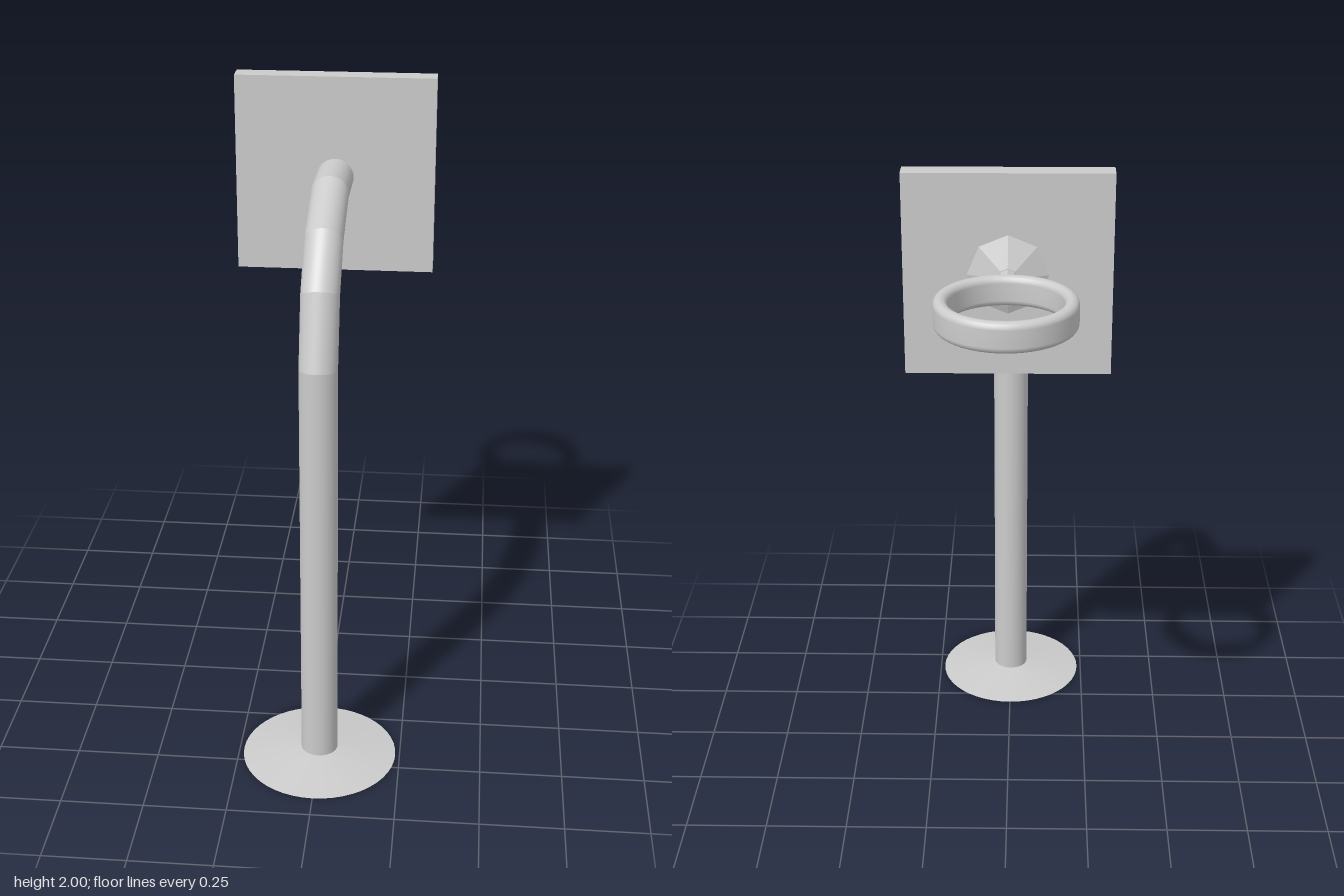
import * as THREE from 'three';

const material = new THREE.MeshStandardMaterial({ color: 0xcccccc });
const flatMaterial = new THREE.MeshStandardMaterial({ color: 0xcccccc, flatShading: true });

function addPart(group, name, geometry, x, y, z, mat = material) {
  const mesh = new THREE.Mesh(geometry, mat);
  mesh.name = name;
  mesh.position.set(x, y, z);
  group.add(mesh);
  return mesh;
}

// Mitred tube section: both end rings lie in the x axis and a given in-plane direction
function tubeSection(a, b, radius, sides) {
  const positions = [];
  const index = [];
  for (const joint of [a, b]) {
    for (let i = 0; i < sides; i++) {
      const t = (i / sides) * Math.PI * 2;
      const p = joint.point.clone().addScaledVector(joint.across, Math.sin(t) * radius);
      positions.push(Math.cos(t) * radius, p.y, p.x);
    }
  }
  for (let i = 0; i < sides; i++) {
    const j = (i + 1) % sides;
    index.push(i, i + sides, j, j, i + sides, j + sides);
  }
  const geometry = new THREE.BufferGeometry();
  geometry.setAttribute('position', new THREE.Float32BufferAttribute(positions, 3));
  geometry.setIndex(index);
  geometry.computeVertexNormals();
  return geometry;
}

// Pole path as (z, y) joints, with a mitre direction at each
function createPole() {
  const pole = new THREE.Group();
  pole.name = 'pole';
  const path = [[0.436, 0], [0.436, 1.3], [0.374, 1.5], [0.26, 1.623], [0.066, 1.7], [-0.13, 1.695]]
    .map(([z, y]) => new THREE.Vector2(z, y));
  const joints = path.map((point, i) => {
    const before = path[i].clone().sub(path[Math.max(i - 1, 0)]).normalize();
    const after = path[Math.min(i + 1, path.length - 1)].clone().sub(path[i]).normalize();
    const along = before.clone().add(after).normalize();
    const stretch = 1 / along.dot(after.lengthSq() ? after : before);
    return { point, across: new THREE.Vector2(along.y, -along.x).multiplyScalar(stretch) };
  });
  const doubleSided = material.clone();
  doubleSided.side = THREE.DoubleSide;
  for (let i = 0; i < joints.length - 1; i++) {
    const geometry = tubeSection(joints[i], joints[i + 1], 0.056, 32);
    addPart(pole, `poleSection${i + 1}`, geometry, 0, 0, 0, doubleSided);
  }
  return pole;
}

// Hoop: a tall rounded section turned about the vertical axis
function hoopGeometry(inner, outer, height, corner) {
  const profile = [];
  const steps = 4;
  const centres = [
    [outer - corner, -height / 2 + corner, -Math.PI / 2],
    [outer - corner, height / 2 - corner, 0],
    [inner + corner, height / 2 - corner, Math.PI / 2],
    [inner + corner, -height / 2 + corner, Math.PI],
  ];
  for (const [cx, cy, start] of centres) {
    for (let i = 0; i <= steps; i++) {
      const t = start + (i / steps) * Math.PI / 2;
      profile.push(new THREE.Vector2(cx + Math.cos(t) * corner, cy + Math.sin(t) * corner));
    }
  }
  profile.push(profile[0].clone());
  return new THREE.LatheGeometry(profile, 48);
}

export function createModel() {
  const model = new THREE.Group();
  model.name = 'basketballHoop';

  // Shallow conical foot
  addPart(model, 'base', new THREE.CylinderGeometry(0.056, 0.237, 0.024, 48), 0, 0.012, 0.436);
  model.add(createPole());

  addPart(model, 'backboard', new THREE.BoxGeometry(0.6, 0.6, 0.064), 0, 1.7, -0.147, flatMaterial);

  // Faceted mount and arm, pointing to the back
  const mount = addPart(model, 'hoopMount',
    new THREE.CylinderGeometry(0.03, 0.12, 0.034, 8), 0, 1.704, -0.195, flatMaterial);
  const arm = addPart(model, 'hoopArm',
    new THREE.CylinderGeometry(0.028, 0.028, 0.1, 8), 0, 1.704, -0.25, flatMaterial);
  mount.rotation.x = arm.rotation.x = -Math.PI / 2;

  addPart(model, 'hoop', hoopGeometry(0.158, 0.198, 0.087, 0.0185), 0, 1.703, -0.477);
  return model;
}
